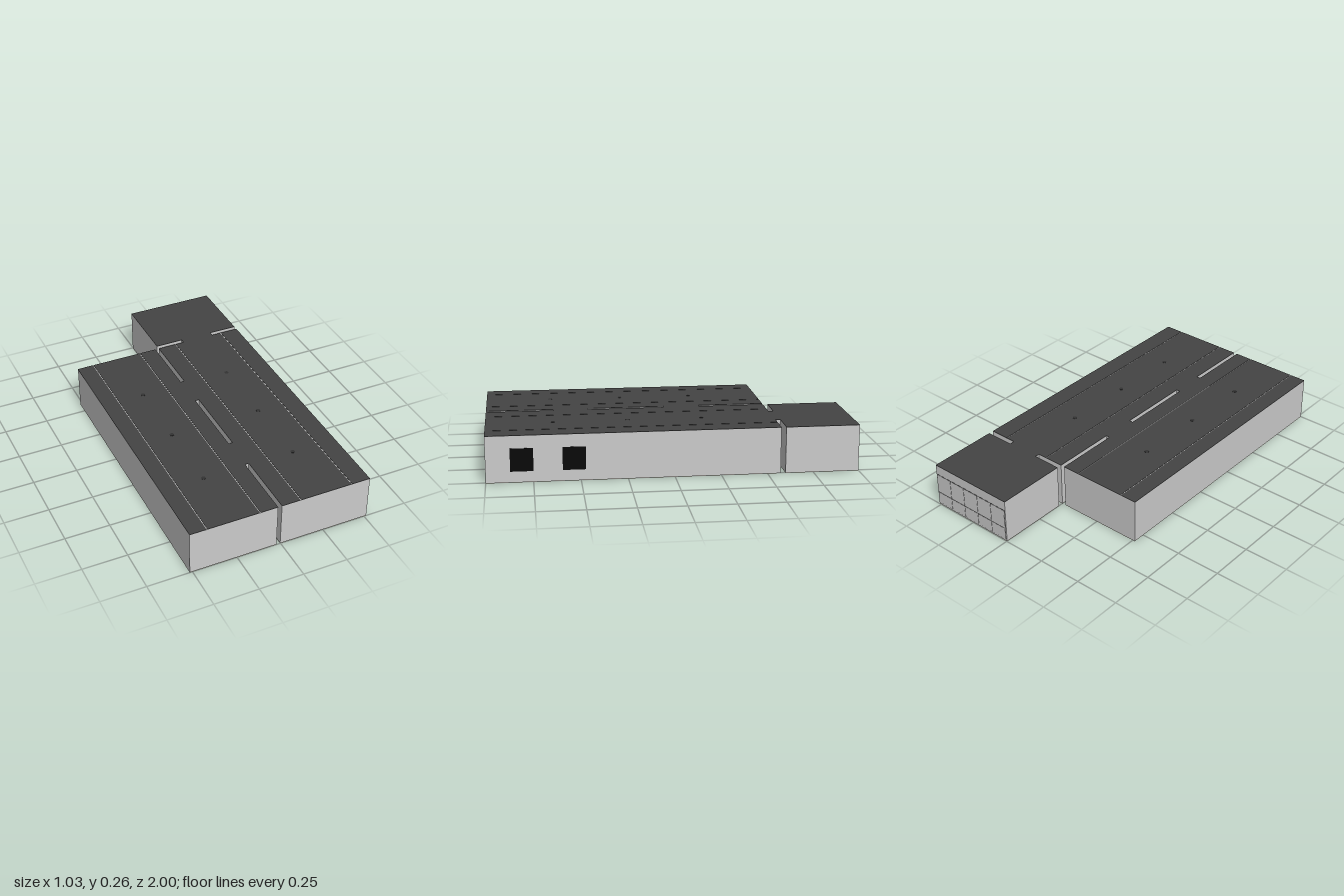
import * as THREE from 'three';

const H = 0.255, SKIN = 0.002;
const mat = (color) => new THREE.MeshStandardMaterial({ color });
const wallMat = mat(0xcccccc), roofMat = mat(0x444444), floorMat = mat(0xccbba2);
const openingMat = mat(0x0a0a0a), ventMat = mat(0x333333);

// Box given by its minimum and maximum corners
function box(parent, name, material, [x0, y0, z0], [x1, y1, z1]) {
  const mesh = new THREE.Mesh(new THREE.BoxGeometry(x1 - x0, y1 - y0, z1 - z0), material);
  mesh.position.set((x0 + x1) / 2, (y0 + y1) / 2, (z0 + z1) / 2);
  mesh.name = name;
  parent.add(mesh);
  return mesh;
}

// Walled block with a thin floor and a roof split by light strips at the given x
function block(parent, name, x0, x1, z0, z1, strips = []) {
  const g = new THREE.Group();
  g.name = name;
  box(g, 'floor', floorMat, [x0, 0, z0], [x1, SKIN, z1]);
  box(g, 'walls', wallMat, [x0, SKIN, z0], [x1, H - SKIN, z1]);
  const gap = 0.0025;
  const edges = [x0, ...strips.flatMap((x) => [x - gap, x + gap]), x1];
  for (let i = 0; i < edges.length; i += 2) {
    box(g, 'roofPanel', roofMat, [edges[i], H - SKIN, z0], [edges[i + 1], H, z1]);
  }
  parent.add(g);
  return g;
}

export function createModel() {
  const model = new THREE.Group();
  model.name = 'industrialBuilding';

  // Two long halls and the office block
  const rightHall = block(model, 'rightHall', -0.515, -0.024, -0.57, 1, [-0.42, -0.125]);
  const leftHall = block(model, 'leftHall', -0.002, 0.513, -0.57, 1, [0.107, 0.405]);
  const office = block(model, 'officeBlock', -0.002, 0.513, -0.998, -0.597);

  // Passages joining the blocks
  block(model, 'hallPassage', -0.024, -0.002, -0.2, 0);
  block(model, 'hallPassage', -0.024, -0.002, 0.43, 0.625);
  block(model, 'officePassage', 0.16, 0.35, -0.597, -0.57);

  // Roof vents and floor drains along the middle of each hall
  for (const [hall, x, drain] of [[rightHall, -0.27, 0.08], [leftHall, 0.255, 0.04]]) {
    for (const z of [0.635, 0.23, -0.175]) {
      const vent = new THREE.Mesh(new THREE.CylinderGeometry(0.012, 0.012, 0.002, 16), ventMat);
      vent.position.set(x, H + 0.0005, z);
      vent.name = 'roofVent';
      hall.add(vent);
    }
    for (const z of [0.3, 0.14]) {
      box(hall, 'floorDrain', ventMat,
        [x - drain / 2, -0.001, z - 0.003], [x + drain / 2, 0.001, z + 0.003]);
    }
  }

  // Loading openings in the side wall
  for (const z of [0.535, 0.81]) {
    box(leftHall, 'loadingDoor', openingMat, [0.51, 0.06, z - 0.061], [0.515, 0.185, z + 0.061]);
  }

  // Glazed back wall of the office: panes in three rows, narrow joints between
  const rows = [[0.012, 0.08], [0.084, 0.196]], columns = 5, left = 0.004, right = 0.507;
  const step = (right - left) / columns;
  for (const [y0, y1] of rows) {
    for (let i = 0; i < columns; i++) {
      const x = left + i * step;
      box(office, 'windowPane', wallMat, [x + 0.0015, y0, -1], [x + step - 0.0015, y1, -0.997]);
    }
  }
  // Dark joints behind the panes
  box(office, 'windowFrame', ventMat, [left, 0.01, -0.9988], [right, 0.198, -0.997]);
  return model;
}
